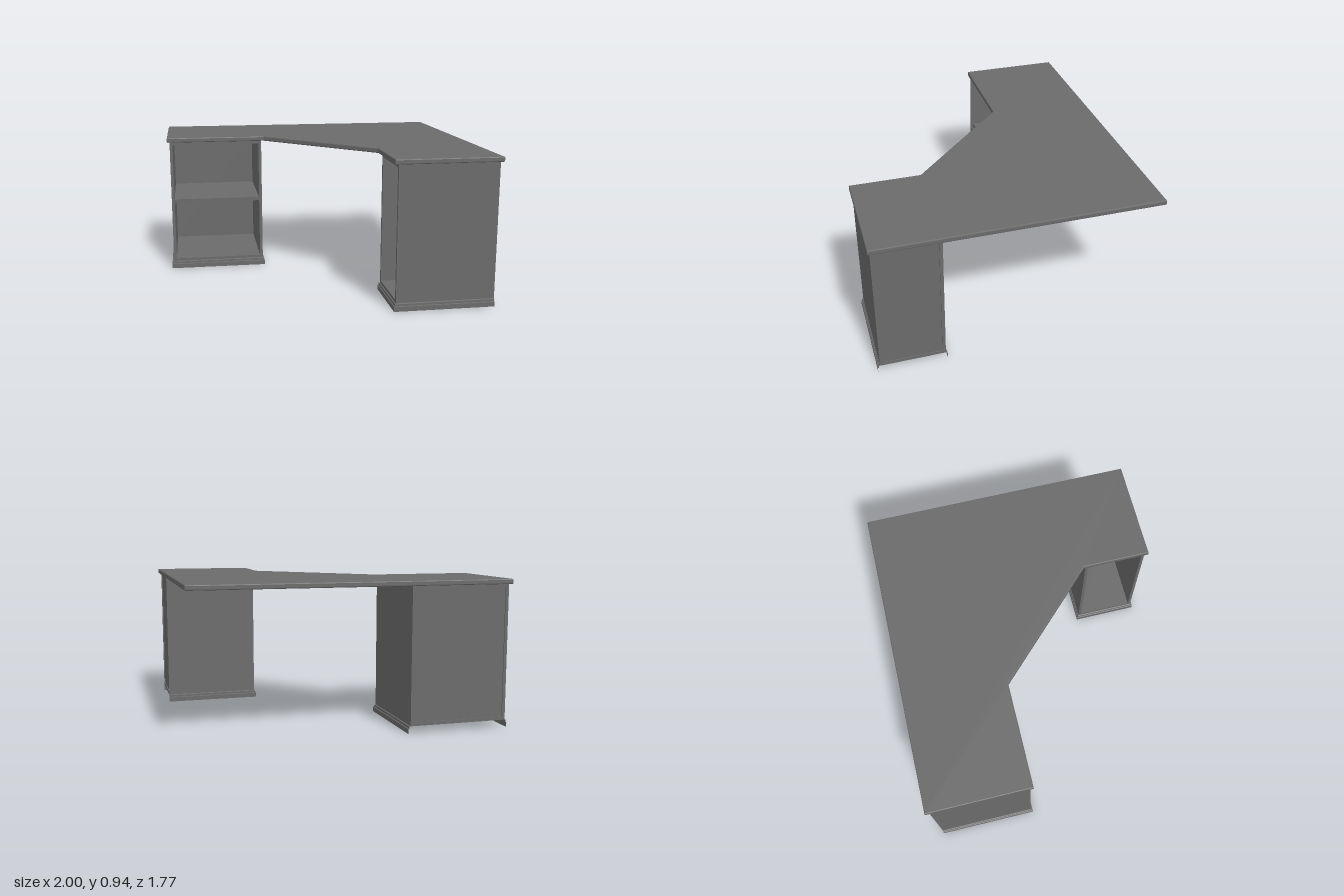
import * as THREE from 'three';

const mat = new THREE.MeshStandardMaterial({ color: 0x6b6b6b, flatShading: true });
const sheetMat = new THREE.MeshStandardMaterial({ color: 0x6b6b6b, flatShading: true, side: THREE.DoubleSide });
const BASE = 0.048, TOP = 0.903, T = 0.02;

function board(parent, name, w, h, d, x, y, z) {
  const m = new THREE.Mesh(new THREE.BoxGeometry(w, h, d), mat);
  m.name = name;
  m.position.set(x, y, z);
  parent.add(m);
}

// Thin moulded skirting swept around the two sides and the front, open at the back
function skirting(w, d) {
  const profile = [[0.013, 0], [0.013, 0.03], [0.007, 0.033], [0.007, 0.046], [0, 0.05]];
  const n = profile.length, pos = [], idx = [];
  for (let s = 0; s < 4; s++) {
    const side = s < 2 ? -1 : 1, atFront = s === 1 || s === 2;
    for (const [o, y] of profile) {
      pos.push(side * (w / 2 + o), y, atFront ? d / 2 + o : -d / 2);
    }
  }
  for (let s = 0; s < 3; s++) {
    for (let i = 0; i < n - 1; i++) {
      const a = s * n + i, b = a + 1, c = a + n, e = b + n;
      idx.push(a, c, b, b, c, e);
    }
  }
  const g = new THREE.BufferGeometry();
  g.setAttribute('position', new THREE.Float32BufferAttribute(pos, 3));
  g.setIndex(idx);
  const flat = g.toNonIndexed();
  flat.computeVertexNormals();
  const m = new THREE.Mesh(flat, sheetMat);
  m.name = 'skirting';
  return m;
}

// Open-fronted cabinet facing +z with a recessed back panel
function cabinet(name, w, d, hasShelf) {
  const g = new THREE.Group();
  g.name = name;
  const h = TOP - BASE, mid = (TOP + BASE) / 2, inner = w - 2 * T;
  for (const s of [-1, 1]) board(g, 'sidePanel', T, h, d, s * (w - T) / 2, mid, 0);
  board(g, 'floorPanel', inner, T, d, 0, BASE + T / 2, 0);
  board(g, 'topPanel', inner, T, d, 0, TOP - T / 2, 0);
  board(g, 'backPanel', inner, h - 2 * T, 0.012, 0, mid, -d / 2 + 0.012);
  if (hasShelf) board(g, 'shelf', inner, 0.025, d - 0.04, 0, 0.483, 0.002);
  g.add(skirting(w, d));
  return g;
}

// Corner worktop with a diagonal inner edge and softened rims
function worktop() {
  const b = 0.006, c = b * 0.414;
  const pts = [
    [-1 + b, 0.885 - b], [-1 + b, 0.224 + b], [-0.333 + c, 0.224 + b],
    [0.333 + b, -0.442 + c], [0.333 + b, -0.885 + b], [1 - b, -0.885 + b], [1 - b, 0.885 - b],
  ].map(p => new THREE.Vector2(...p));
  const geo = new THREE.ExtrudeGeometry(new THREE.Shape(pts), {
    depth: 0.032 - 2 * b, bevelEnabled: true, bevelThickness: b, bevelSize: b, bevelSegments: 2,
  });
  geo.rotateX(-Math.PI / 2);
  const m = new THREE.Mesh(geo, mat);
  m.name = 'worktop';
  m.position.y = TOP + b;
  return m;
}

export function createModel() {
  const desk = new THREE.Group();
  desk.name = 'cornerDesk';
  desk.add(worktop());

  // Wide shelf cabinet under one wing
  const shelfCabinet = cabinet('shelfCabinet', 0.635, 0.625, true);
  shelfCabinet.position.set(-0.665, 0, -0.5525);
  desk.add(shelfCabinet);

  // Narrow cabinet under the other wing, opening toward the sitter
  const narrowCabinet = cabinet('narrowCabinet', 0.408, 0.623, false);
  narrowCabinet.position.set(0.669, 0, 0.667);
  narrowCabinet.rotation.y = -Math.PI / 2;
  desk.add(narrowCabinet);

  return desk;
}
